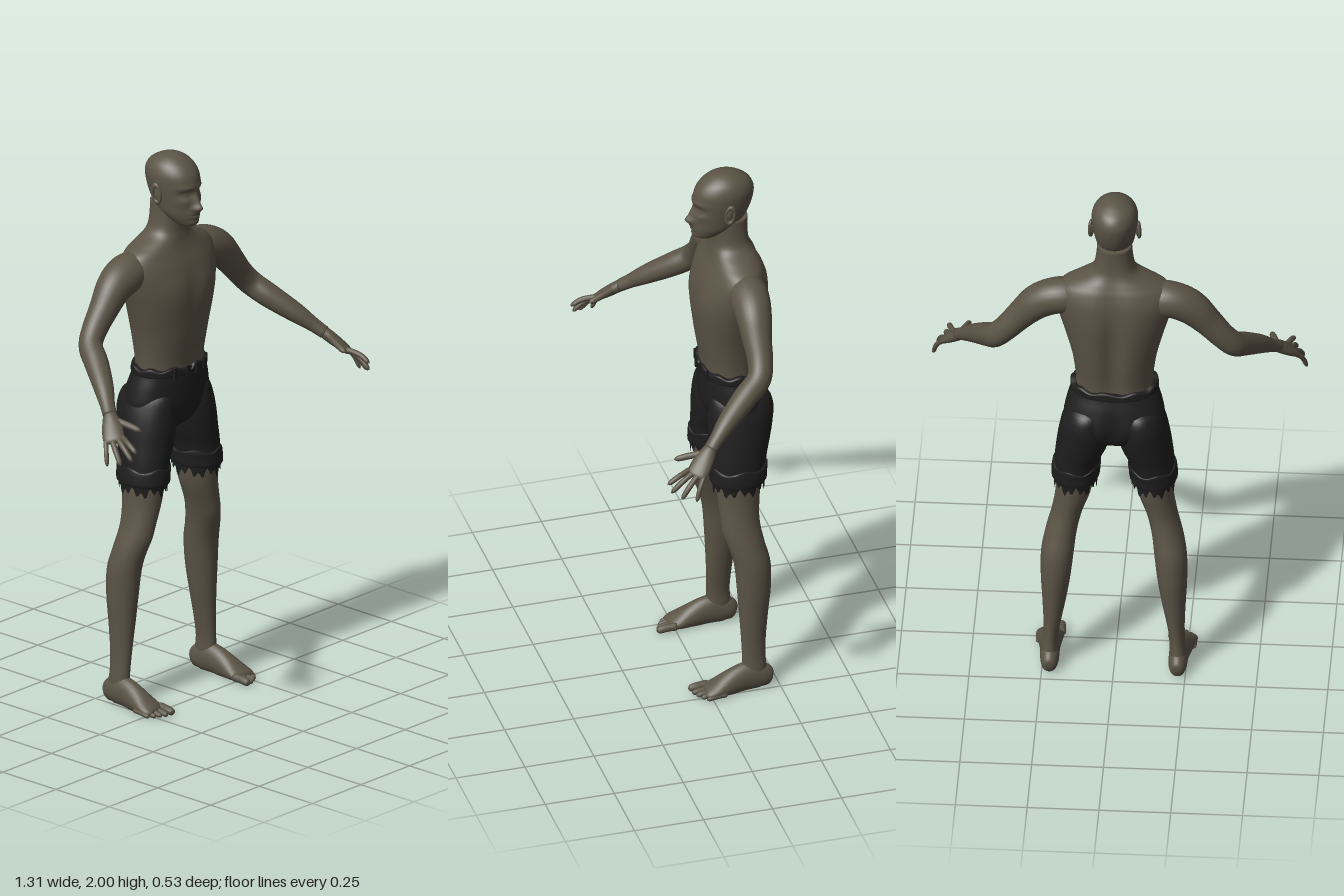
import * as THREE from 'three';

const skin = new THREE.MeshStandardMaterial({ color: 0x5b5446 });
skin.name = 'skin';
const cloth = new THREE.MeshStandardMaterial({ color: 0x1e1e1f, side: THREE.DoubleSide });
cloth.name = 'dark cloth';

const V = (x, y, z) => new THREE.Vector3(x, y, z);
const gauss = (d, s) => Math.exp(-(d * d) / (2 * s * s));

// Smoothly resample rows of numbers
function resample(keys, n) {
  const out = [], m = keys.length - 1;
  for (let i = 0; i <= n; i++) {
    const t = (i / n) * m, k = Math.min(Math.floor(t), m - 1), f = t - k;
    const p = [k - 1, k, k + 1, k + 2].map((j) => keys[Math.max(0, Math.min(m, j))]);
    out.push(p[1].map((b, c) => {
      const a = p[0][c], d = p[2][c], e = p[3][c];
      return b + 0.5 * f * (d - a + f * (2 * a - 5 * b + 4 * d - e + f * (3 * (b - d) + e - a)));
    }));
  }
  return out;
}

// Loft through keys [x, y, z, rU, rV]; 'side' steers U, 'level' keeps rings horizontal
function loft(keys, { n = 24, seg = 24, side = V(1, 0, 0), level = false, power = 1, caps = true, rule } = {}) {
  const rows = resample(keys, n), pos = [], idx = [];
  const at = (i) => V(...rows[Math.max(0, Math.min(n, i))]);
  const put = (p, i, a) => { if (rule) rule(p, i / n, a); pos.push(p.x, p.y, p.z); };
  rows.forEach((r, i) => {
    const T = level ? V(0, 1, 0) : at(i + 1).sub(at(i - 1)).normalize();
    const U = level ? V(0, 0, 1) : side.clone().addScaledVector(T, -side.dot(T)).normalize();
    const W = T.clone().cross(U);
    for (let j = 0; j < seg; j++) {
      const a = (j / seg) * Math.PI * 2, c = Math.cos(a), s = Math.sin(a);
      const sp = (v) => Math.sign(v) * Math.abs(v) ** power;
      put(at(i).addScaledVector(U, sp(c) * r[3]).addScaledVector(W, sp(s) * r[4]), i, a);
    }
  });
  for (let i = 0; i < n; i++) for (let j = 0; j < seg; j++) {
    const a = i * seg + j, b = i * seg + ((j + 1) % seg);
    idx.push(a, b, b + seg, a, b + seg, a + seg);
  }
  if (caps) {
    const s0 = pos.length / 3;
    put(at(0), 0, 0);
    put(at(n), n, 0);
    for (let j = 0; j < seg; j++) {
      const k = (j + 1) % seg;
      idx.push(s0, k, j, s0 + 1, n * seg + j, n * seg + k);
    }
  }
  const g = new THREE.BufferGeometry();
  g.setAttribute('position', new THREE.Float32BufferAttribute(pos, 3));
  g.setIndex(idx);
  g.computeVertexNormals();
  return g;
}

// Upright form from keys [y, centreX, halfWidth, frontZ, backZ]
const upright = (keys, opt) =>
  loft(keys.map(([y, x, w, f, b]) => [x, y, (f + b) / 2, (f - b) / 2, w]), { ...opt, level: true });

// Round-ended digit through points
function digit(points, r) {
  const path = new THREE.CatmullRomCurve3(points);
  const keys = [0, 0.04, 0.12, 0.35, 0.6, 0.85, 0.94, 1].map((t, i) => {
    const p = path.getPoint(t), q = r * [0.3, 0.8, 1, 0.95, 0.95, 0.85, 0.6, 0.1][i];
    return [p.x, p.y, p.z, q, q];
  });
  return loft(keys, { n: 16, seg: 12, side: V(1, 0.2, -0.8) });
}

function mirrored(geo) {
  const g = geo.clone().scale(-1, 1, 1), ix = g.index.array;
  for (let i = 0; i < ix.length; i += 3) [ix[i], ix[i + 1]] = [ix[i + 1], ix[i]];
  g.computeVertexNormals();
  return g;
}

export function createModel() {
  const model = new THREE.Group();
  model.name = 'man in ragged shorts';
  const add = (name, geo, mat = skin) => {
    const m = new THREE.Mesh(geo, mat);
    m.name = name;
    model.add(m);
  };
  const pair = (name, geo, mat) => {
    add('left ' + name, geo, mat);
    add('right ' + name, mirrored(geo), mat);
  };

  // Torso and neck, with spine groove, shoulder blades and chest
  add('torso', upright([
    [1.17, 0, 0.136, -0.04, -0.222], [1.25, 0, 0.135, -0.033, -0.226], [1.35, 0, 0.148, -0.017, -0.24],
    [1.45, 0, 0.173, -0.008, -0.25], [1.53, 0, 0.195, -0.014, -0.255], [1.6, 0, 0.208, -0.032, -0.252],
    [1.65, 0, 0.19, -0.052, -0.238], [1.68, 0, 0.14, -0.062, -0.224], [1.705, 0, 0.092, -0.066, -0.212],
    [1.73, 0, 0.072, -0.068, -0.204], [1.77, 0, 0.064, -0.065, -0.2], [1.82, 0, 0.06, -0.06, -0.2],
  ], {
    n: 56, seg: 56, power: 0.92, rule: (p) => {
      if (p.z < -0.17) p.z += gauss(p.y - 1.42, 0.17) * (0.02 * gauss(p.x, 0.022) - 0.008 * gauss(Math.abs(p.x) - 0.08, 0.04));
      else if (p.z > -0.1) p.z += gauss(p.y - 1.52, 0.05) * (0.007 * gauss(Math.abs(p.x) - 0.085, 0.045) - 0.004 * gauss(p.x, 0.015));
    },
  }));

  // Head with brow, eye sockets, nose, lips and chin
  const face = [
    // x, y, spreadX, spreadY, push
    [0, 1.822, 0.011, 0.012, 0.024], [0, 1.848, 0.008, 0.018, 0.013], [0.014, 1.818, 0.007, 0.007, 0.009],
    [0.032, 1.872, 0.015, 0.01, -0.013], [0.03, 1.895, 0.018, 0.007, 0.005], [0.032, 1.871, 0.008, 0.005, 0.007],
    [0, 1.802, 0.018, 0.004, 0.008], [0, 1.788, 0.016, 0.005, 0.009], [0, 1.766, 0.016, 0.01, 0.008],
    [0.045, 1.845, 0.013, 0.012, 0.004],
  ];
  add('head', upright([
    [1.748, 0, 0.012, -0.03, -0.06], [1.754, 0, 0.032, -0.014, -0.085], [1.77, 0, 0.047, -0.007, -0.12],
    [1.795, 0, 0.062, -0.005, -0.16], [1.825, 0, 0.069, -0.005, -0.19], [1.86, 0, 0.075, -0.005, -0.208],
    [1.9, 0, 0.08, -0.006, -0.22], [1.935, 0, 0.08, -0.014, -0.222], [1.965, 0, 0.069, -0.036, -0.207],
    [1.985, 0, 0.049, -0.064, -0.178], [1.996, 0, 0.026, -0.09, -0.15], [2, 0, 0.004, -0.115, -0.125],
  ], {
    n: 72, seg: 80, rule: (p) => {
      if (p.z < -0.06) return;
      const x = Math.abs(p.x);
      p.z += face.reduce((d, [fx, fy, sx, sy, push]) => d + push * gauss(x - fx, sx) * gauss(p.y - fy, sy), 0);
    },
  }));

  // Ears: flattened bowl with a rim
  const ear = new THREE.TorusGeometry(0.021, 0.007, 8, 20);
  ear.scale(0.72, 1.45, 0.9).rotateY(Math.PI / 2 - 0.3).rotateX(-0.15).translate(0.083, 1.866, -0.116);
  pair('ear rim', ear);
  const bowl = new THREE.SphereGeometry(0.02, 16, 10);
  bowl.scale(0.35, 1.4, 0.8).rotateX(-0.15).translate(0.079, 1.862, -0.112);
  pair('ear bowl', bowl);

  // Arms
  pair('arm', loft([
    [0.1, 1.6, -0.155, 0.045, 0.05], [0.16, 1.6, -0.152, 0.066, 0.064], [0.215, 1.59, -0.15, 0.07, 0.064],
    [0.27, 1.56, -0.147, 0.063, 0.061], [0.325, 1.5, -0.142, 0.052, 0.051], [0.375, 1.44, -0.139, 0.045, 0.045],
    [0.415, 1.393, -0.122, 0.042, 0.044], [0.446, 1.352, -0.066, 0.043, 0.042], [0.495, 1.296, 0.012, 0.036, 0.034],
    [0.53, 1.255, 0.062, 0.027, 0.025], [0.552, 1.228, 0.095, 0.026, 0.021],
  ], { n: 44, seg: 28, side: V(0.3, 0.5, -0.8) }));

  // Hands: palm, four fingers and thumb
  const across = V(0.62, -0.1, -0.77);
  pair('palm', loft([
    [0.545, 1.237, 0.085, 0.02, 0.018], [0.556, 1.223, 0.1, 0.027, 0.021], [0.575, 1.198, 0.126, 0.036, 0.02],
    [0.596, 1.172, 0.152, 0.038, 0.016], [0.604, 1.162, 0.162, 0.033, 0.012], [0.607, 1.158, 0.166, 0.02, 0.005],
  ], { n: 20, side: across }));
  const tips = [[0.6, 1.142, 0.262], [0.61, 1.112, 0.252], [0.636, 1.096, 0.222], [0.651, 1.086, 0.172]];
  tips.forEach((t, i) => {
    const base = V(0.594, 1.174, 0.15).addScaledVector(across, (i - 1.5) * 0.018);
    const tip = V(...t), mid = base.clone().lerp(tip, 0.5).add(V(0.006, 0.006, 0.004));
    pair('finger ' + (i + 1), digit([base, mid, tip], 0.0105 - (i === 3 ? 0.0015 : 0)));
  });
  pair('thumb', digit([V(0.556, 1.22, 0.108), V(0.54, 1.208, 0.158), V(0.525, 1.192, 0.217)], 0.0125));

  // Legs
  pair('leg', upright([
    [0.03, 0.223, 0.026, -0.13, -0.208], [0.08, 0.223, 0.029, -0.12, -0.207], [0.13, 0.221, 0.027, -0.119, -0.202],
    [0.2, 0.215, 0.031, -0.117, -0.205], [0.3, 0.208, 0.042, -0.112, -0.215], [0.4, 0.203, 0.052, -0.106, -0.226],
    [0.5, 0.197, 0.057, -0.097, -0.226], [0.58, 0.185, 0.055, -0.077, -0.208], [0.66, 0.165, 0.054, -0.06, -0.196],
    [0.75, 0.143, 0.062, -0.052, -0.203], [0.85, 0.134, 0.068, -0.046, -0.214], [0.93, 0.12, 0.07, -0.045, -0.22],
  ], { n: 48, seg: 28, rule: (p) => {
    if (p.z > -0.12) p.z += 0.006 * gauss(p.y - 0.62, 0.025) * gauss(p.x - 0.172, 0.025);
  } }));

  // Feet: flat-soled, with toes
  pair('foot', loft([
    [0.223, 0.028, -0.224, 0.01, 0.012], [0.223, 0.032, -0.215, 0.024, 0.032], [0.223, 0.045, -0.19, 0.032, 0.047],
    [0.224, 0.052, -0.15, 0.034, 0.056], [0.226, 0.048, -0.11, 0.036, 0.053], [0.229, 0.035, -0.06, 0.042, 0.042],
    [0.231, 0.025, -0.02, 0.048, 0.028], [0.231, 0.02, 0.008, 0.046, 0.018], [0.23, 0.018, 0.02, 0.034, 0.009],
  ], { n: 32, seg: 28, rule: (p) => { p.y = Math.max(p.y, 0.004); } }));
  [[0.194, 0.069, 0.015], [0.218, 0.062, 0.011], [0.238, 0.052, 0.0105], [0.256, 0.04, 0.01], [0.272, 0.024, 0.0095]]
    .forEach(([x, z, r], i) => pair('toe ' + (i + 1),
      digit([V(x - 0.002, r + 0.008, z - 0.075), V(x, r + 0.006, z - 0.035), V(x + 0.001, r, z)], r)));

  // Shorts: seat, legs, ragged cuffs and waistband
  add('shorts seat', upright([
    [0.985, 0, 0.03, -0.1, -0.2], [1.01, 0, 0.09, -0.065, -0.235], [1.05, 0, 0.155, -0.042, -0.256],
    [1.09, 0, 0.176, -0.032, -0.263], [1.15, 0, 0.167, -0.03, -0.25], [1.2, 0, 0.152, -0.031, -0.234],
    [1.225, 0, 0.146, -0.033, -0.23],
  ], { n: 36, seg: 48, power: 0.92, rule: (p) => {
    if (p.z < -0.16) p.z += 0.022 * gauss(p.x, 0.016) * gauss(p.y - 1.07, 0.05);
  } }), cloth);
  pair('shorts leg', upright([
    [0.825, 0.136, 0.077, -0.036, -0.224], [0.9, 0.127, 0.081, -0.034, -0.232], [0.96, 0.112, 0.09, -0.032, -0.247],
    [1.02, 0.102, 0.092, -0.03, -0.26], [1.08, 0.096, 0.085, -0.034, -0.266], [1.13, 0.09, 0.07, -0.045, -0.25],
    [1.16, 0.085, 0.04, -0.08, -0.2],
  ], { n: 32, seg: 36 }), cloth);
  const torn = (a) => 0.5 + 0.3 * Math.sin(a * 17) + 0.2 * Math.sin(a * 7 + 1);
  pair('ragged cuff', upright([
    [0.815, 0.136, 0.076, -0.037, -0.222], [0.82, 0.136, 0.084, -0.028, -0.23], [0.85, 0.134, 0.085, -0.028, -0.232],
    [0.873, 0.131, 0.084, -0.029, -0.234], [0.875, 0.131, 0.076, -0.037, -0.226],
  ], { n: 16, seg: 72, caps: false, rule: (p, t, a) => {
    if (t === 0) p.y -= 0.045 * torn(a);
    else if (t > 0.7) p.y += 0.006 * Math.sin(a * 5);
  } }), cloth);
  add('waistband', upright([
    [1.2, 0, 0.146, -0.036, -0.229], [1.203, 0, 0.153, -0.026, -0.237], [1.215, 0, 0.154, -0.025, -0.238],
    [1.228, 0, 0.152, -0.026, -0.237], [1.231, 0, 0.137, -0.036, -0.226],
  ], { n: 16, seg: 80, power: 0.92, caps: false, rule: (p, t, a) => {
    if (t > 0.5) p.y += 0.005 * Math.sin(a * 9) - 0.022 * gauss(p.x, 0.008) * (p.z > -0.1 ? 1 : 0);
  } }), cloth);
  // Belt loops
  [-0.075, -0.022, 0.022, 0.075].forEach((x) => {
    const z = -0.131 + 0.106 * Math.sqrt(1 - (x / 0.154) ** 2) + 0.003;
    add('belt loop', new THREE.BoxGeometry(0.011, 0.038, 0.008).translate(x, 1.216, z), cloth);
  });
  return model;
}
